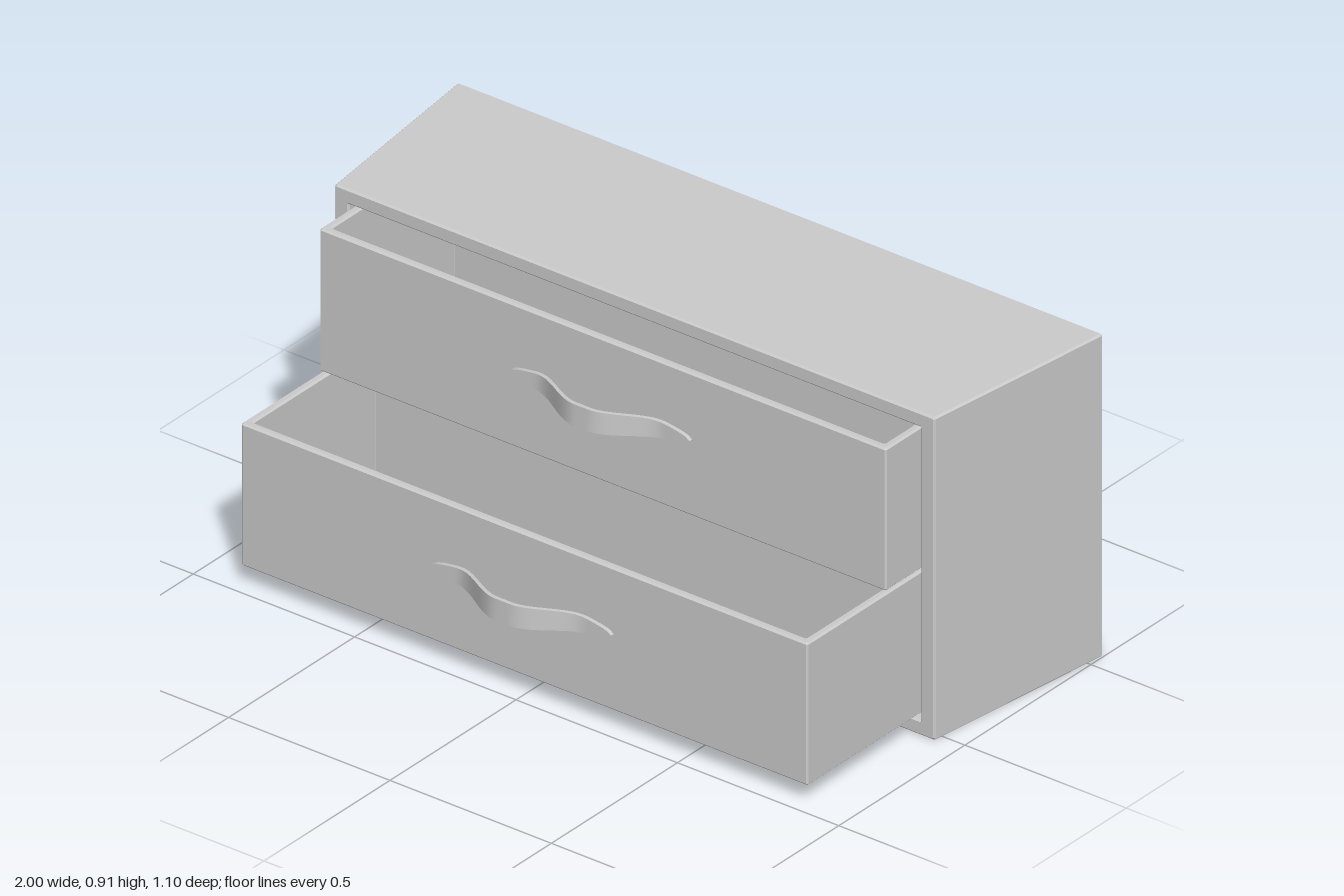
import * as THREE from 'three';

const BEVEL = 0.005;
const material = new THREE.MeshStandardMaterial({ color: 0xcccccc });

function part(name, geometry, x = 0, y = 0, z = 0) {
  const mesh = new THREE.Mesh(geometry, material);
  mesh.name = name;
  mesh.position.set(x, y, z);
  return mesh;
}

// Rectangle with small cut corners, centred on the origin
function trace(path, w, h, c) {
  const x = w / 2, y = h / 2;
  const pts = [[-x + c, -y], [x - c, -y], [x, -y + c], [x, y - c],
    [x - c, y], [-x + c, y], [-x, y - c], [-x, -y + c]];
  return path.setFromPoints(pts.map(p => new THREE.Vector2(...p)));
}

// Rectangular ring with bevelled rims, running from 0 to depth in z
function ring(w, h, innerW, innerH, depth) {
  const shape = trace(new THREE.Shape(), w, h, BEVEL);
  shape.holes.push(trace(new THREE.Path(), innerW, innerH, 0.001));
  const geo = new THREE.ExtrudeGeometry(shape, {
    depth: depth - 2 * BEVEL, bevelEnabled: true, bevelSegments: 1,
    bevelSize: BEVEL, bevelThickness: BEVEL, bevelOffset: -BEVEL,
  });
  return geo.translate(0, 0, BEVEL);
}

// Cabinet shell: the outer sides taper towards the front, the opening stays straight
function createCabinet() {
  const group = new THREE.Group();
  group.name = 'cabinet';
  const depth = 0.58, height = 0.91;
  const geo = ring(2, height, 1.77, 0.825, depth);
  const p = geo.attributes.position;
  for (let i = 0; i < p.count; i++) {
    const x = p.getX(i);
    if (Math.abs(x) > 0.95) p.setX(i, x - Math.sign(x) * 0.07 * p.getZ(i) / depth);
  }
  geo.computeVertexNormals();
  group.add(part('cabinetShell', geo, 0, height / 2, -0.55));
  group.add(part('backPanel', new THREE.BoxGeometry(1.8, 0.85, 0.045), 0, height / 2, -0.5278));
  return group;
}

// Curved handle: a band with pointed ends that bows out from the drawer front
function createHandle() {
  const halfW = 0.28, thick = 0.011;
  const geo = new THREE.BoxGeometry(2 * halfW, 2, thick, 48, 1, 1);
  const p = geo.attributes.position;
  for (let i = 0; i < p.count; i++) {
    const x = p.getX(i);
    const bow = 1 - THREE.MathUtils.smoothstep(Math.abs(x), 0.02, 0.2);
    p.setY(i, p.getY(i) * 0.031 * Math.sqrt(Math.max(0.0005, 1 - (x / halfW) ** 2)));
    p.setZ(i, p.getZ(i) + thick / 2 + 0.003 + 0.072 * bow);
  }
  geo.computeVertexNormals();
  return geo;
}

// Open-topped drawer with its front face at z = front
function createDrawer(name, bottom, front) {
  const group = new THREE.Group();
  group.name = name;
  const w = 1.756, h = 0.402, depth = 0.53, wall = 0.022;
  const walls = ring(w, depth, w - 2 * wall, depth - 2 * wall, h).rotateX(-Math.PI / 2);
  group.add(part('drawerWalls', walls, 0, 0, -depth / 2));
  group.add(part('drawerBottom',
    new THREE.BoxGeometry(w - wall, 0.022, depth - wall), 0, 0.0112, -depth / 2));
  group.add(part('handle', createHandle(), 0, 0.218, 0));
  group.position.set(0, bottom, front);
  return group;
}

export function createModel() {
  const model = new THREE.Group();
  model.name = 'chestOfDrawers';
  model.add(createCabinet());
  model.add(createDrawer('lowerDrawer', 0.053, 0.468));
  model.add(createDrawer('upperDrawer', 0.46, 0.157));
  return model;
}
